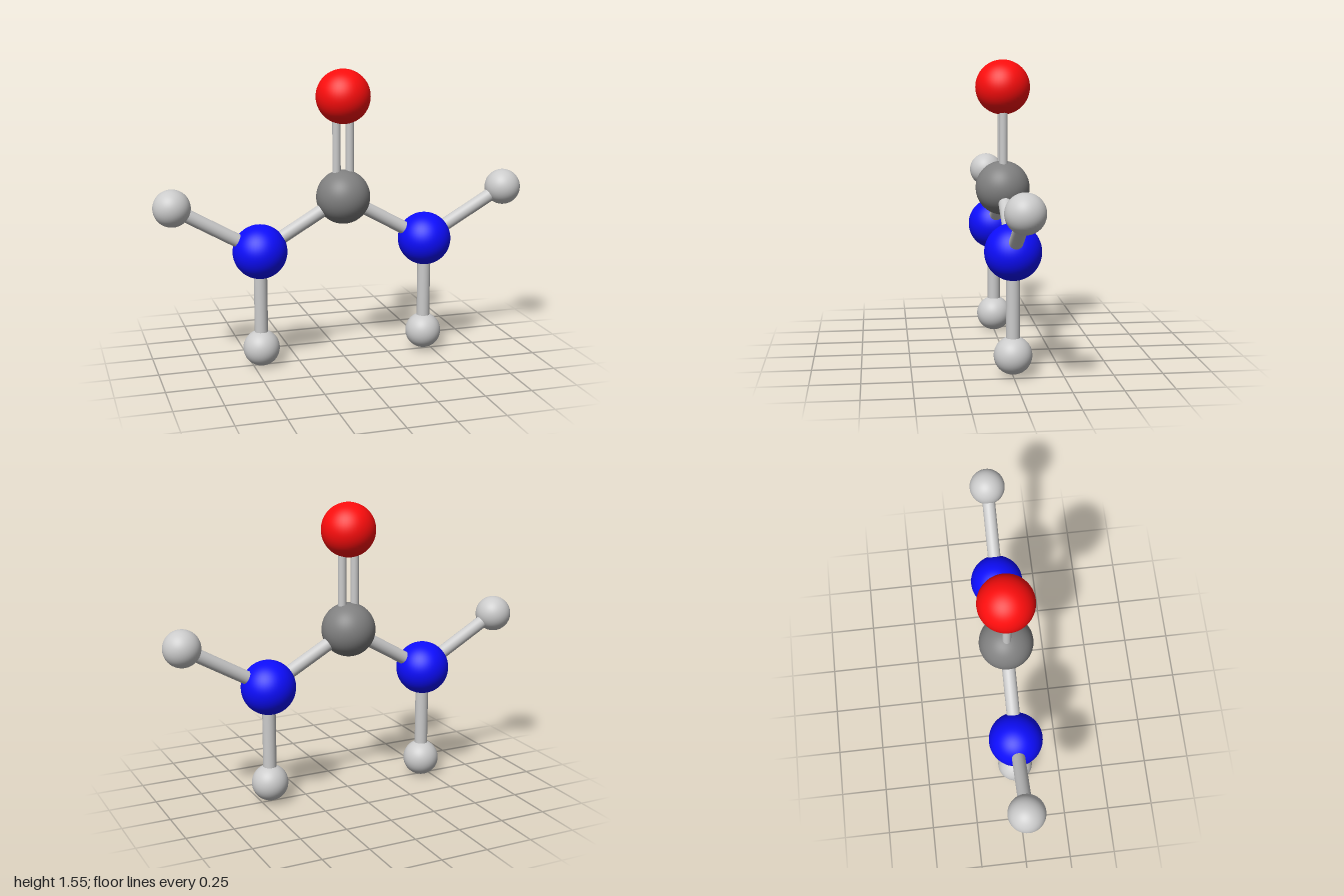
import * as THREE from 'three';

const material = (color) => new THREE.MeshStandardMaterial({ color });
const bondMaterial = material(0xcccccc);

// Kinds of atom: sphere radius and material
const kinds = {
  oxygen: { radius: 0.142, material: material(0xff0d0d) },
  carbon: { radius: 0.142, material: material(0x808080) },
  nitrogen: { radius: 0.142, material: material(0x0d0dff) },
  hydrogen: { radius: 0.096, material: material(0xcccccc) },
};

// Atom centres, all in the plane z = 0
const atoms = {
  oxygen: ['oxygen', -0.005, 1.408],
  carbon: ['carbon', -0.005, 0.882],
  rightNitrogen: ['nitrogen', -0.455, 0.618],
  leftNitrogen: ['nitrogen', 0.452, 0.626],
  rightOuterHydrogen: ['hydrogen', -0.904, 0.875],
  leftOuterHydrogen: ['hydrogen', 0.904, 0.885],
  rightLowerHydrogen: ['hydrogen', -0.455, 0.096],
  leftLowerHydrogen: ['hydrogen', 0.453, 0.106],
};

// Straight rod between two atoms, shifted sideways by offset
function bond(name, from, to, radius, offset = 0) {
  const a = new THREE.Vector3(atoms[from][1] + offset, atoms[from][2], 0);
  const b = new THREE.Vector3(atoms[to][1] + offset, atoms[to][2], 0);
  const dir = b.clone().sub(a);
  const rod = new THREE.Mesh(
    new THREE.CylinderGeometry(radius, radius, dir.length(), 32), bondMaterial);
  rod.position.copy(a).add(b).multiplyScalar(0.5);
  rod.quaternion.setFromUnitVectors(new THREE.Vector3(0, 1, 0), dir.normalize());
  rod.name = name;
  return rod;
}

export function createModel() {
  const model = new THREE.Group();
  model.name = 'ballAndStickMolecule';

  // Atoms
  for (const [name, [kind, x, y]] of Object.entries(atoms)) {
    const { radius, material } = kinds[kind];
    const ball = new THREE.Mesh(new THREE.SphereGeometry(radius, 48, 32), material);
    ball.position.set(x, y, 0);
    ball.name = name + 'Atom';
    model.add(ball);
  }

  // Double bond: two thin parallel rods
  for (const [side, offset] of [['right', -0.036], ['left', 0.036]]) {
    model.add(bond(side + 'DoubleBond', 'carbon', 'oxygen', 0.022, offset));
  }

  // Single bonds of each arm
  for (const side of ['right', 'left']) {
    const nitrogen = side + 'Nitrogen';
    model.add(
      bond(side + 'InnerBond', 'carbon', nitrogen, 0.035),
      bond(side + 'OuterBond', nitrogen, side + 'OuterHydrogen', 0.035),
      bond(side + 'LowerBond', nitrogen, side + 'LowerHydrogen', 0.035),
    );
  }
  return model;
}
